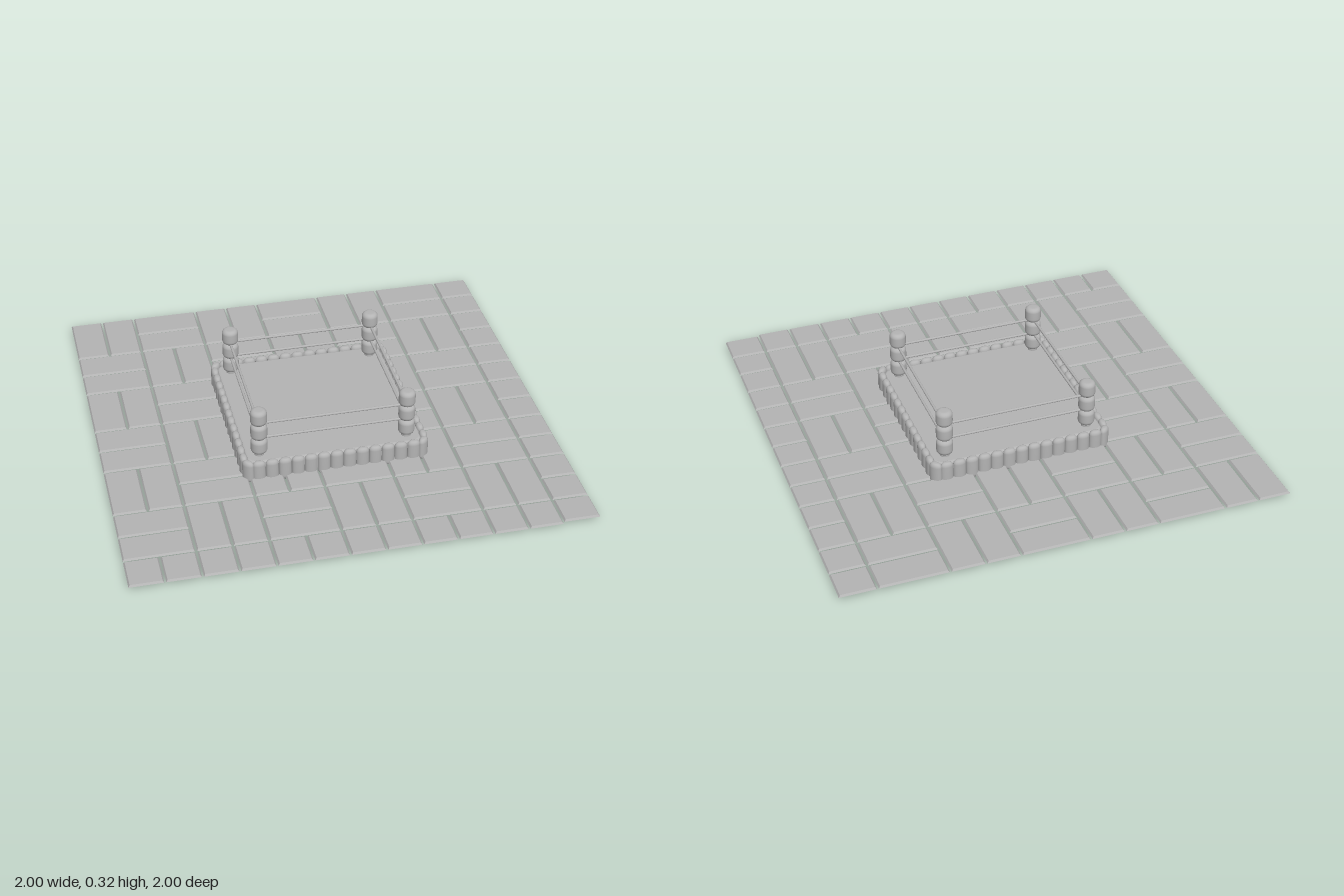
import * as THREE from 'three';

const stone = new THREE.MeshStandardMaterial({ color: 0xb4b4b4 });
stone.name = 'plain grey';

function add(parent, name, geometry, x = 0, y = 0, z = 0) {
  const mesh = new THREE.Mesh(geometry, stone);
  mesh.name = name;
  mesh.position.set(x, y, z);
  parent.add(mesh);
  return mesh;
}

// Upright drum with rounded rims, standing on y = 0
function roundedDrum(radius, height, rim, sides) {
  const points = [new THREE.Vector2(0, 0)];
  for (let i = 0; i <= 5; i++) {
    const a = (i / 5) * Math.PI / 2;
    points.push(new THREE.Vector2(radius - rim + rim * Math.sin(a), rim - rim * Math.cos(a)));
  }
  for (let i = 0; i <= 5; i++) {
    const a = (i / 5) * Math.PI / 2;
    points.push(new THREE.Vector2(radius - rim + rim * Math.cos(a), height - rim + rim * Math.sin(a)));
  }
  points.push(new THREE.Vector2(0, height));
  return new THREE.LatheGeometry(points, sides);
}

// Thin paving slab whose top face is drawn in to make a chamfer
function slab(width, depth) {
  const inset = 0.006, box = new THREE.BoxGeometry(width, 0.008, depth);
  const p = box.attributes.position;
  for (let i = 0; i < p.count; i++) {
    if (p.getY(i) > 0) {
      p.setX(i, p.getX(i) - Math.sign(p.getX(i)) * inset);
      p.setZ(i, p.getZ(i) - Math.sign(p.getZ(i)) * inset);
    }
  }
  const geometry = box.toNonIndexed();
  geometry.computeVertexNormals();
  return geometry;
}

// Basket-weave paving, trimmed to a square
function buildPaving() {
  const paving = new THREE.Group();
  paving.name = 'paving';
  const cell = 0.307, gap = 0.008, half = cell / 2;
  const place = (x0, x1, z0, z1) => {
    x1 = Math.min(x1, 1 + gap / 2);
    z1 = Math.min(z1, 1 + gap / 2);
    const w = x1 - x0 - gap, d = z1 - z0 - gap;
    if (w < 0.02 || d < 0.02) return;
    const hidden = Math.max(Math.abs(x0), Math.abs(x1), Math.abs(z0), Math.abs(z1)) < 0.4;
    if (!hidden) add(paving, 'pavingSlab', slab(w, d), (x0 + x1) / 2, 0.019, (z0 + z1) / 2);
  };
  for (let row = 0; row < 7; row++) {
    for (let col = 0; col < 7; col++) {
      const x = -1 - gap / 2 + col * cell, z = -1 - gap / 2 + row * cell;
      // Trimmed edge cells keep their slabs running off the edge
      const upright = row === 6 ? col < 6 : col < 6 && (row + col) % 2 === 0;
      for (let k = 0; k < 2; k++) {
        if (upright) place(x + k * half, x + (k + 1) * half, z, z + cell);
        else place(x, x + cell, z + k * half, z + (k + 1) * half);
      }
    }
  }
  return paving;
}

// Raised square floor with softened edges
function buildPlatform() {
  const bevel = 0.012, h = 0.392 - bevel, r = 0.03;
  const shape = new THREE.Shape();
  shape.moveTo(-h + r, -h);
  shape.lineTo(h - r, -h);
  shape.absarc(h - r, -h + r, r, -Math.PI / 2, 0);
  shape.lineTo(h, h - r);
  shape.absarc(h - r, h - r, r, 0, Math.PI / 2);
  shape.lineTo(-h + r, h);
  shape.absarc(-h + r, h - r, r, Math.PI / 2, Math.PI);
  shape.lineTo(-h, -h + r);
  shape.absarc(-h + r, -h + r, r, Math.PI, Math.PI * 1.5);
  const geometry = new THREE.ExtrudeGeometry(shape, {
    depth: 0.084 - 2 * bevel, bevelEnabled: true, bevelSize: bevel,
    bevelThickness: bevel, bevelSegments: 3, curveSegments: 6,
  });
  geometry.rotateX(-Math.PI / 2);
  geometry.translate(0, 0.008 + bevel, 0);
  return geometry;
}

export function createModel() {
  const model = new THREE.Group();
  model.name = 'ropedRing';
  model.add(buildPaving());
  add(model, 'platform', buildPlatform());

  const edgeStone = roundedDrum(0.0285, 0.105, 0.02, 16);
  edgeStone.scale(1, 1, 0.63);
  const postDrum = roundedDrum(0.037, 0.074, 0.02, 24);
  const rope = new THREE.CylinderGeometry(0.006, 0.006, 0.66, 10);
  rope.rotateZ(Math.PI / 2);

  // Four identical sides, each with edging, a corner post and two ropes
  for (let s = 0; s < 4; s++) {
    const side = new THREE.Group();
    side.name = 'ringSide';
    side.rotation.y = s * Math.PI / 2;
    for (let i = -6; i <= 6; i++) add(side, 'edgeStone', edgeStone, i * 0.0575, 0, 0.403);
    add(side, 'cornerStone', edgeStone, 0.392, 0, 0.392).rotation.y = Math.PI / 4;
    for (let i = 0; i < 3; i++) add(side, 'postDrum', postDrum, 0.33, 0.103 + i * 0.0735, 0.33);
    add(side, 'postFoot', new THREE.CylinderGeometry(0.022, 0.022, 0.04, 16), 0.33, 0.1, 0.33);
    for (const y of [0.179, 0.254]) add(side, 'rope', rope, 0, y, 0.332);
    model.add(side);
  }
  return model;
}
